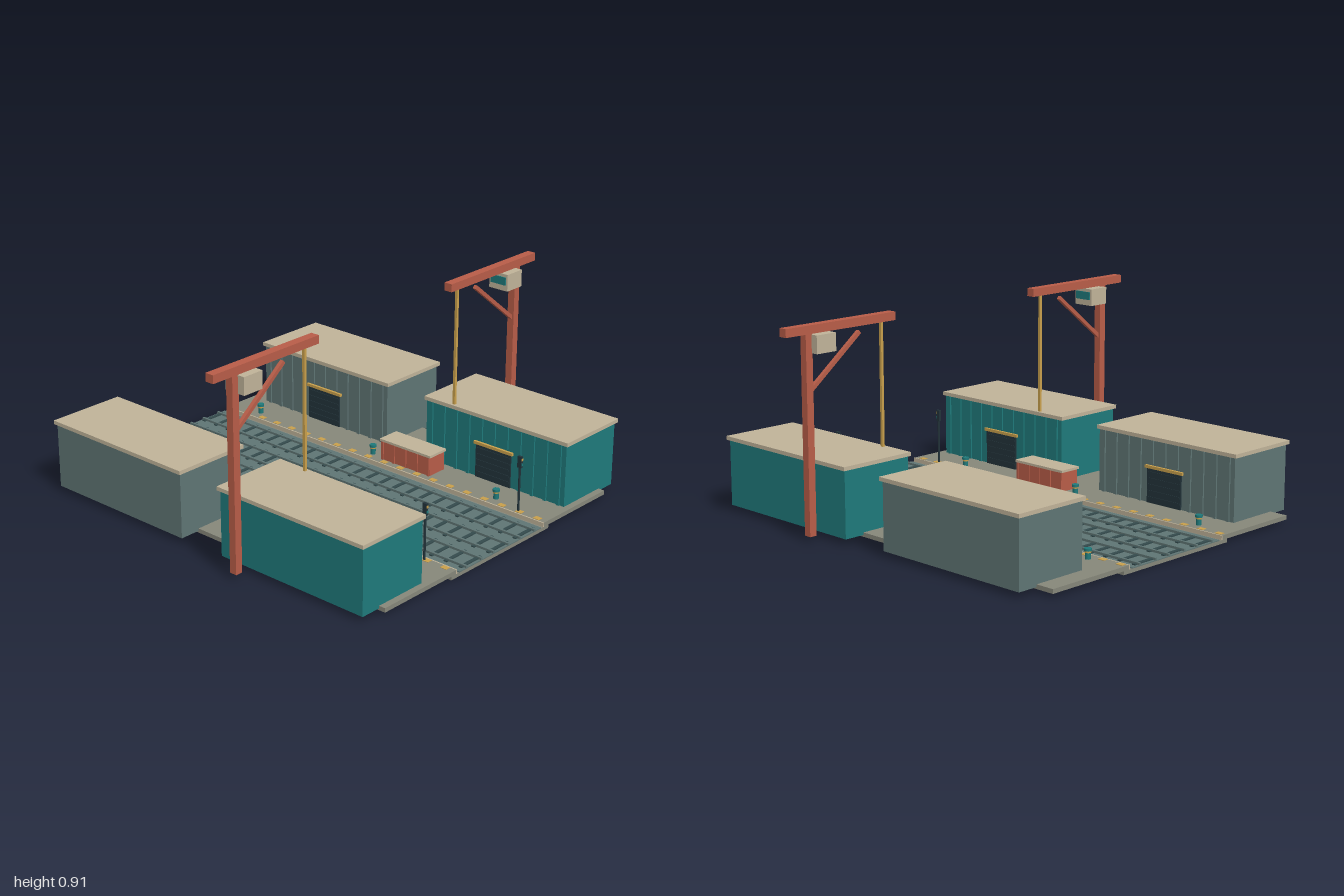
import * as THREE from 'three';

const mat = (name, color) => {
  const m = new THREE.MeshStandardMaterial({ color });
  m.name = name;
  return m;
};

export function createModel() {
  const concrete = mat('concrete', 0x86877a);
  const slate = mat('slate', 0x5f7574);
  const teal = mat('teal', 0x1f7a7b);
  const beige = mat('beige', 0xc0b399);
  const red = mat('red', 0xb85d48);
  const yellow = mat('yellow', 0xc9a04c);
  const dark = mat('dark', 0x22333a);
  const sleeperDark = mat('sleeper dark', 0x344b4d);

  const root = new THREE.Group();
  root.name = 'railFreightYard';

  const group = (name, parent = root) => {
    const g = new THREE.Group();
    g.name = name;
    parent.add(g);
    return g;
  };
  const add = (parent, name, geometry, material, x, y, z) => {
    const m = new THREE.Mesh(geometry, material);
    m.name = name;
    m.position.set(x, y, z);
    parent.add(m);
    return m;
  };
  // Box given by its min and max on each axis
  const box = (parent, name, material, x0, x1, y0, y1, z0, z1) =>
    add(parent, name, new THREE.BoxGeometry(Math.abs(x1 - x0), y1 - y0, z1 - z0), material,
      (x0 + x1) / 2, (y0 + y1) / 2, (z0 + z1) / 2);
  const cyl = (parent, name, material, r, y0, y1, x, z, sides = 10) =>
    add(parent, name, new THREE.CylinderGeometry(r, r, y1 - y0, sides), material, x, (y0 + y1) / 2, z);

  // Track bed
  const L = 0.935;
  box(root, 'bedSlab', concrete, -0.32, 0.32, 0, 0.016, -L, L);
  box(root, 'ballast', slate, -0.27, 0.27, 0.016, 0.02, -L, L);

  // Three tracks
  for (const cx of [-0.176, 0, 0.176]) {
    const track = group('track');
    for (let i = 0; i < 25; i++) {
      const z = -0.915 + i * 0.07625;
      box(track, 'sleeper', sleeperDark, cx - 0.065, cx + 0.065, 0.02, 0.025, z - 0.008, z + 0.008);
    }
    for (const s of [-1, 1]) {
      const x = cx + s * 0.048;
      box(track, 'rail', slate, x - 0.005, x + 0.005, 0.02, 0.03, -L, L);
    }
  }

  // Warehouse with ribbed wall and shutter facing the tracks
  const warehouse = (s, z0, z1, wall) => {
    const g = group('warehouse');
    box(g, 'walls', wall, s * 0.468, s * 0.815, 0.024, 0.316, z0, z1);
    box(g, 'roof', beige, s * 0.46, s * 0.826, 0.316, 0.333, z0 - 0.01, z1 + 0.01);
    const mid = (z0 + z1) / 2;
    for (let i = 0; i < 11; i++) {
      const z = z0 + 0.03 + i * (z1 - z0 - 0.06) / 10;
      if (Math.abs(z - mid) < 0.1) box(g, 'wallRib', wall, s * 0.461, s * 0.468, 0.21, 0.316, z - 0.007, z + 0.007);
      else box(g, 'wallRib', wall, s * 0.461, s * 0.468, 0.035, 0.316, z - 0.007, z + 0.007);
    }
    box(g, 'shutter', dark, s * 0.461, s * 0.468, 0.035, 0.19, mid - 0.095, mid + 0.095);
    for (let i = 0; i < 5; i++) {
      const y = 0.055 + i * 0.028;
      box(g, 'shutterSlat', dark, s * 0.458, s * 0.461, y, y + 0.009, mid - 0.09, mid + 0.09);
    }
    box(g, 'doorLintel', yellow, s * 0.456, s * 0.468, 0.19, 0.203, mid - 0.105, mid + 0.105);
  };

  for (const s of [-1, 1]) {
    // Platform with coping and edge dashes
    const platform = group('platform');
    box(platform, 'platformSlab', concrete, s * 0.29, s * 0.72, 0.016, 0.035, -L, L);
    box(platform, 'coping', beige, s * 0.284, s * 0.29, 0.016, 0.035, -L, L);
    for (let i = 0; i < 20; i++) {
      const z = -0.906 + i * 0.0945;
      box(platform, 'edgeDash', yellow, s * 0.292, s * 0.317, 0.035, 0.037, z - 0.016, z + 0.016);
    }

    warehouse(s, 0.145, 0.905, teal);
    warehouse(s, -0.85, -0.088, slate);

    // Cantilever crane
    const crane = group('crane');
    box(crane, 'cranePost', red, s * 0.862, s * 0.896, 0.024, 0.87, 0.274, 0.308);
    box(crane, 'craneBeam', red, s * 0.415, s, 0.87, 0.906, 0.271, 0.311);
    const dx = -0.265, dy = 0.21;
    const brace = add(crane, 'craneBrace', new THREE.BoxGeometry(Math.hypot(dx, dy), 0.017, 0.017),
      red, s * 0.733, 0.738, 0.291);
    brace.rotation.z = s * Math.atan2(dy, dx);
    box(crane, 'craneCabin', beige, s * 0.765, s * 0.866, 0.79, 0.867, 0.241, 0.341);
    box(crane, 'cabinWindow', teal, s * 0.76, s * 0.765, 0.817, 0.853, 0.25, 0.332);
    box(crane, 'hoistCable', yellow, s * 0.472, s * 0.484, 0.3, 0.87, 0.285, 0.297);

    // Cargo container
    const cargo = group('cargoContainer');
    box(cargo, 'containerBody', red, s * 0.324, s * 0.424, 0.035, 0.123, 0.006, 0.284);
    box(cargo, 'containerLid', beige, s * 0.318, s * 0.43, 0.123, 0.134, 0, 0.29);
    for (let i = 0; i < 5; i++) {
      const z = 0.013 + i * 0.066;
      box(cargo, 'containerRib', red, s * 0.319, s * 0.324, 0.035, 0.123, z - 0.006, z + 0.006);
    }

    // Mooring bollards
    for (const z of [-0.765, -0.06, 0.64]) {
      const b = group('bollard');
      cyl(b, 'bollardStem', teal, 0.012, 0.035, 0.07, s * 0.342, z);
      cyl(b, 'bollardBand', yellow, 0.0135, 0.062, 0.069, s * 0.342, z);
      cyl(b, 'bollardCap', teal, 0.016, 0.069, 0.08, s * 0.342, z);
    }

    // Track signal
    const signal = group('signal');
    cyl(signal, 'signalPost', dark, 0.005, 0.035, 0.24, s * 0.308, 0.785, 8);
    box(signal, 'signalHead', dark, s * 0.302, s * 0.314, 0.235, 0.287, 0.775, 0.795);
    box(signal, 'signalLampTop', yellow, s * 0.304, s * 0.312, 0.268, 0.278, 0.795, 0.798);
    box(signal, 'signalLampBottom', teal, s * 0.304, s * 0.312, 0.246, 0.256, 0.795, 0.798);
  }

  return root;
}
